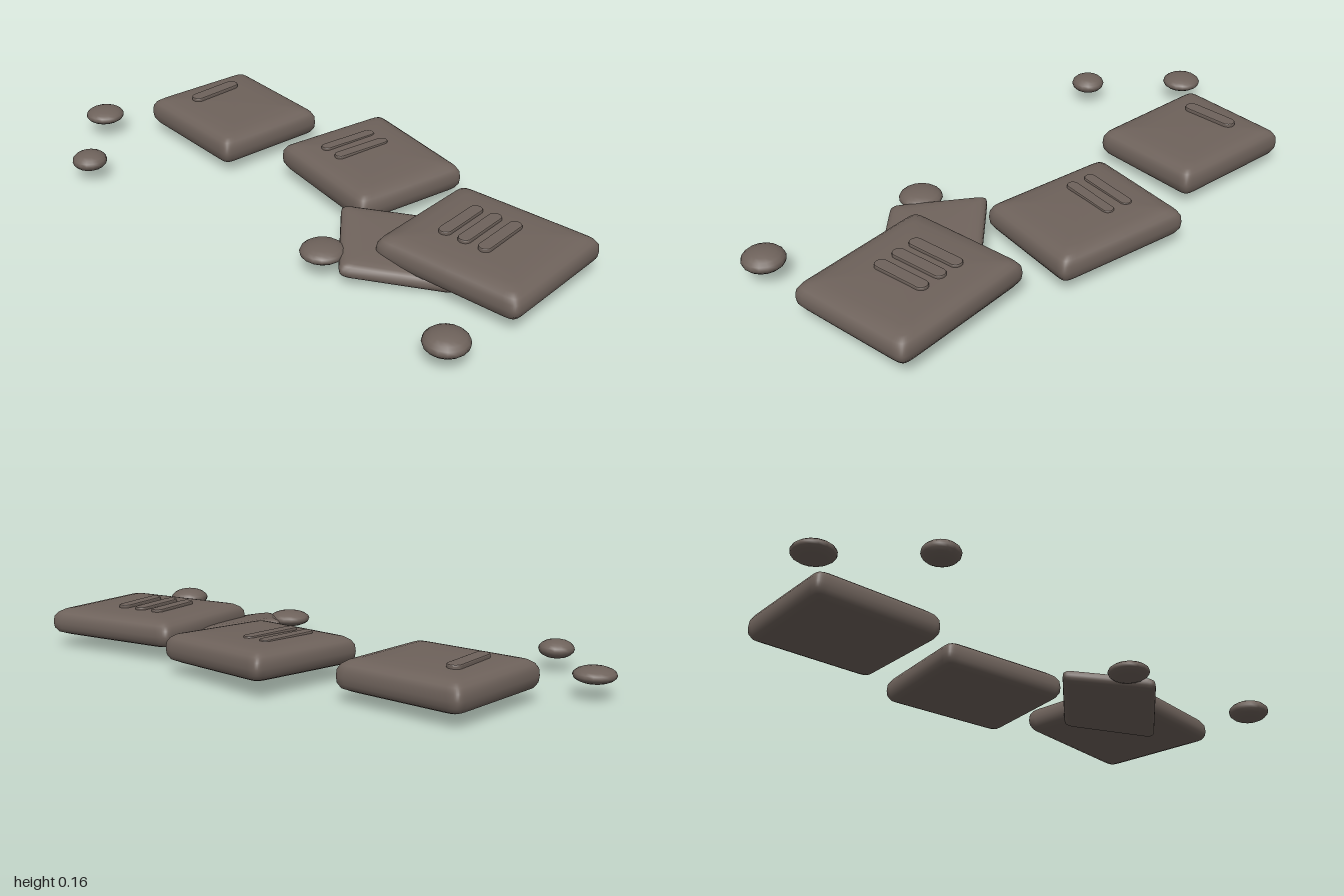
import * as THREE from 'three';

const stone = new THREE.MeshStandardMaterial({ color: 0x6e625b });
stone.name = 'stone';

// Cross-section from underside centre to top centre: [scale, height 0..1]
const PROFILE = [
  [0, 0], [0.5, 0.01], [0.86, 0.05], [0.95, 0.13], [0.99, 0.27], [1, 0.45],
  [0.99, 0.66], [0.95, 0.8], [0.88, 0.9], [0.75, 0.96], [0.5, 0.99], [0, 1],
];
const SIDES = 48;
const power = (a, p) => Math.sign(a) * Math.pow(Math.abs(a), p);

// Corners run back-left, back-right, front-right, front-left as [x, z, lift]
function blend(corners, u, v, k) {
  const [a, b, c, d] = corners;
  return ((1 - u) * (1 - v) * a[k] + (1 + u) * (1 - v) * b[k]
    + (1 + u) * (1 + v) * c[k] + (1 - u) * (1 + v) * d[k]) / 4;
}

// Worn slab: rounded square loops stretched over four uneven corners
function slab(name, corners, bottom, top) {
  const pos = [], index = [];
  for (const [s, h] of PROFILE) {
    for (let j = 0; j < SIDES; j++) {
      const t = (j / SIDES) * Math.PI * 2;
      const u = s * power(Math.cos(t), 0.1), v = s * power(Math.sin(t), 0.1);
      pos.push(blend(corners, u, v, 0),
        bottom + h * (top - bottom) + blend(corners, u, v, 2),
        blend(corners, u, v, 1));
    }
  }
  for (let i = 0; i < PROFILE.length - 1; i++) {
    for (let j = 0; j < SIDES; j++) {
      const a = i * SIDES + j, b = i * SIDES + (j + 1) % SIDES;
      index.push(a, a + SIDES, b, b, a + SIDES, b + SIDES);
    }
  }
  const g = new THREE.BufferGeometry();
  g.setAttribute('position', new THREE.Float32BufferAttribute(pos, 3));
  g.setIndex(index);
  g.computeVertexNormals();
  const mesh = new THREE.Mesh(g, stone);
  mesh.name = name;
  return mesh;
}

// Raised tally bar with round ends, lying along z
function tallyBar(name, x, y, z, length, width, turn) {
  const r = width / 2, h = length / 2 - r;
  const s = new THREE.Shape();
  s.absarc(0, h, r, 0, Math.PI, false);
  s.absarc(0, -h, r, Math.PI, Math.PI * 2, false);
  const g = new THREE.ExtrudeGeometry(s, {
    depth: 0.02, curveSegments: 8, bevelThickness: 0.004,
    bevelSize: 0.005, bevelOffset: -0.005, bevelSegments: 2,
  });
  g.rotateX(-Math.PI / 2);
  const mesh = new THREE.Mesh(g, stone);
  mesh.position.set(x, y - 0.024, z);
  mesh.rotation.y = turn;
  mesh.name = name;
  return mesh;
}

export function createModel() {
  const model = new THREE.Group();
  model.name = 'steppingStones';

  // Three large slabs and a tilted broken one
  model.add(
    slab('leftSlab', [[-0.80, -0.39, 0], [-0.325, -0.36, -0.002],
      [-0.345, 0.065, -0.004], [-0.825, 0.045, 0]], 0.045, 0.157),
    slab('middleSlab', [[-0.145, -0.505, 0.012], [0.335, -0.43, 0],
      [0.27, -0.005, -0.008], [-0.21, -0.07, 0.004]], 0.048, 0.156),
    slab('rightSlab', [[0.405, -0.34, 0.003], [0.94, -0.4, 0],
      [0.985, 0.07, -0.006], [0.455, 0.13, 0]], 0.052, 0.156),
    slab('brokenSlab', [[0.47, -0.2, 0.0], [0.72, 0.02, -0.045],
      [0.45, 0.27, 0], [0.22, 0.04, 0.04]], 0.044, 0.1),
  );

  // Tally bars: one, two and three
  model.add(tallyBar('tallyOne', -0.685, 0.168, -0.16, 0.21, 0.05, 0.03));
  [-0.05, 0.025].forEach((x, i) =>
    model.add(tallyBar(`tallyTwo${i + 1}`, x, 0.166, -0.25 + i * 0.008, 0.22, 0.04, -0.12)));
  [0.587, 0.66, 0.735].forEach((x, i) =>
    model.add(tallyBar(`tallyThree${i + 1}`, x, 0.166, -0.13 - i * 0.008, 0.21, 0.045, 0.12)));

  // Flattened pebbles: x, y, z, radius, half height
  [
    [-0.93, 0.087, 0.18, 0.07, 0.027],
    [-0.662, 0.084, 0.43, 0.061, 0.032],
    [0.345, 0.088, 0.238, 0.074, 0.028],
    [0.927, 0.086, 0.305, 0.072, 0.035],
  ].forEach(([x, y, z, r, h], i) => {
    const pebble = new THREE.Mesh(new THREE.SphereGeometry(1, 16, 10), stone);
    pebble.scale.set(r, h, r);
    pebble.position.set(x, y, z);
    pebble.name = `pebble${i + 1}`;
    model.add(pebble);
  });

  return model;
}
